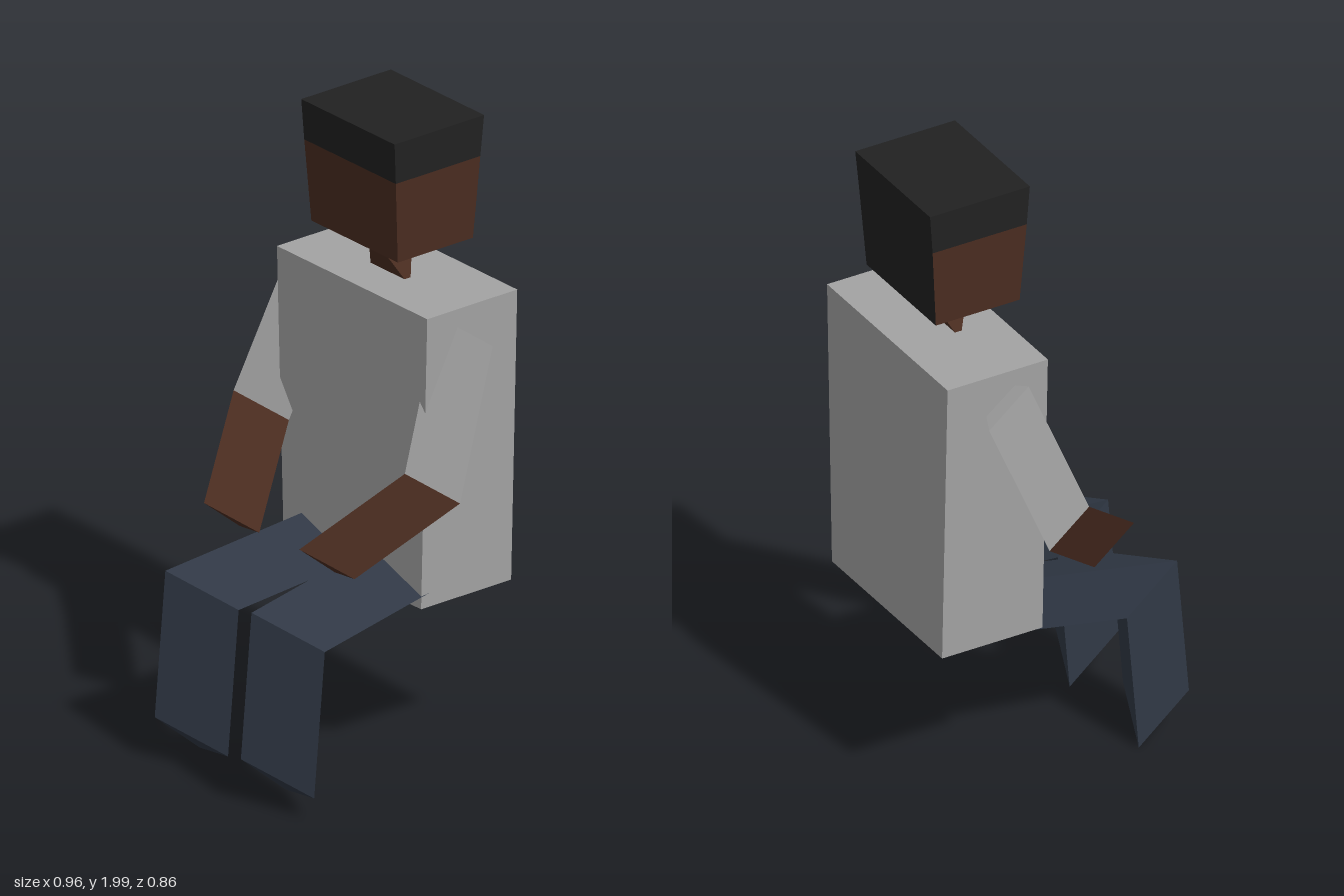
import * as THREE from 'three';
import { ConvexGeometry } from 'three/addons/geometries/ConvexGeometry.js';

const V = (x, y, z) => new THREE.Vector3(x, y, z);

function material(name, color) {
  const m = new THREE.MeshStandardMaterial({ color });
  m.name = name;
  return m;
}

// Box between two heights whose x and z extents change from bottom to top
function taperedBox(y0, y1, bottom, top) {
  const geo = new THREE.BoxGeometry(1, 1, 1).toNonIndexed();
  const p = geo.attributes.position;
  for (let i = 0; i < p.count; i++) {
    const up = p.getY(i) > 0;
    const [xa, xb, za, zb] = up ? top : bottom;
    p.setXYZ(i, p.getX(i) > 0 ? xb : xa, up ? y1 : y0, p.getZ(i) > 0 ? zb : za);
  }
  geo.computeVertexNormals();
  return geo;
}

// Three-sided limb segment: the section is swept from start to end, with one end closed
function limbSegment(start, end, section, cap) {
  const s = section.map((o) => start.clone().add(o));
  const e = section.map((o) => end.clone().add(o));
  const tris = cap === 'start' ? [s[0], s[1], s[2]] : [e[0], e[2], e[1]];
  for (let i = 0; i < 3; i++) {
    const j = (i + 1) % 3;
    tris.push(s[j], s[i], e[i], s[j], e[i], e[j]);
  }
  const geo = new THREE.BufferGeometry().setFromPoints(tris);
  geo.computeVertexNormals();
  return geo;
}

export function createModel() {
  const shirt = material('shirt grey', 0xa3a3a3);
  const skin = material('skin brown', 0x4a2c20);
  const trousers = material('trouser blue', 0x303845);
  const hair = material('hair black', 0x212121);

  const model = new THREE.Group();
  model.name = 'seatedFigure';
  const add = (name, geo, mat, parent = model) => {
    const mesh = new THREE.Mesh(geo, mat);
    mesh.name = name;
    parent.add(mesh);
  };

  // Torso, slightly wider at the shoulders
  add('torso', taperedBox(0.55, 1.483, [-0.345, 0.285, -0.43, -0.09], [-0.376, 0.313, -0.43, -0.09]), shirt);

  // Neck: wide across x at the bottom, wide along z at the top
  const neck = [V(0, 0.17, 0.085), V(0, 0.17, -0.085), V(0.09, 0, 0), V(-0.09, 0, 0)];
  neck.forEach((v) => v.add(V(-0.031, 1.46, -0.235)));
  add('neck', new ConvexGeometry(neck), skin);

  // Head: the hair covers the crown and the whole back
  const head = new THREE.Group();
  head.name = 'head';
  model.add(head);
  const hairline = [-0.24, 0.18, -0.4, -0.081];
  add('face', taperedBox(1.612, 1.871, [-0.228, 0.168, -0.382, -0.098], hairline),
    [skin, skin, skin, skin, skin, hair], head);
  add('hairCap', taperedBox(1.871, 2, hairline, [-0.244, 0.184, -0.411, -0.073]), hair, head);

  // Limb sections, measured from their upper front corner
  const armSection = [V(0, 0, 0), V(0.172, -0.055, -0.067), V(0, -0.11, -0.134)];
  const legSection = [V(0, 0, 0), V(0.233, -0.07, -0.085), V(0, -0.144, -0.17)];

  const limb = (name, section, path, names, mats) => {
    const group = new THREE.Group();
    group.name = name;
    model.add(group);
    add(names[0], limbSegment(path[0], path[1], section, 'start'), mats[0], group);
    add(names[1], limbSegment(path[1], path[2], section, 'end'), mats[1], group);
  };

  // Arms: shoulder, elbow, hand
  const armParts = ['sleeve', 'forearm'];
  limb('leftArm', armSection,
    [V(0.248, 1.444, -0.182), V(0.305, 1.01, -0.012), V(0.132, 0.782, 0.244)], armParts, [shirt, skin]);
  limb('rightArm', armSection,
    [V(-0.422, 1.444, -0.182), V(-0.48, 1.01, -0.012), V(-0.305, 0.782, 0.244)], armParts, [shirt, skin]);

  // Legs: hip, knee, foot
  const legParts = ['thigh', 'shin'];
  limb('leftLeg', legSection,
    [V(0.048, 0.673, -0.098), V(0.09, 0.607, 0.39), V(0.09, 0.152, 0.43)], legParts, [trousers, trousers]);
  limb('rightLeg', legSection,
    [V(-0.262, 0.673, -0.098), V(-0.305, 0.607, 0.39), V(-0.305, 0.152, 0.43)], legParts, [trousers, trousers]);

  return model;
}
